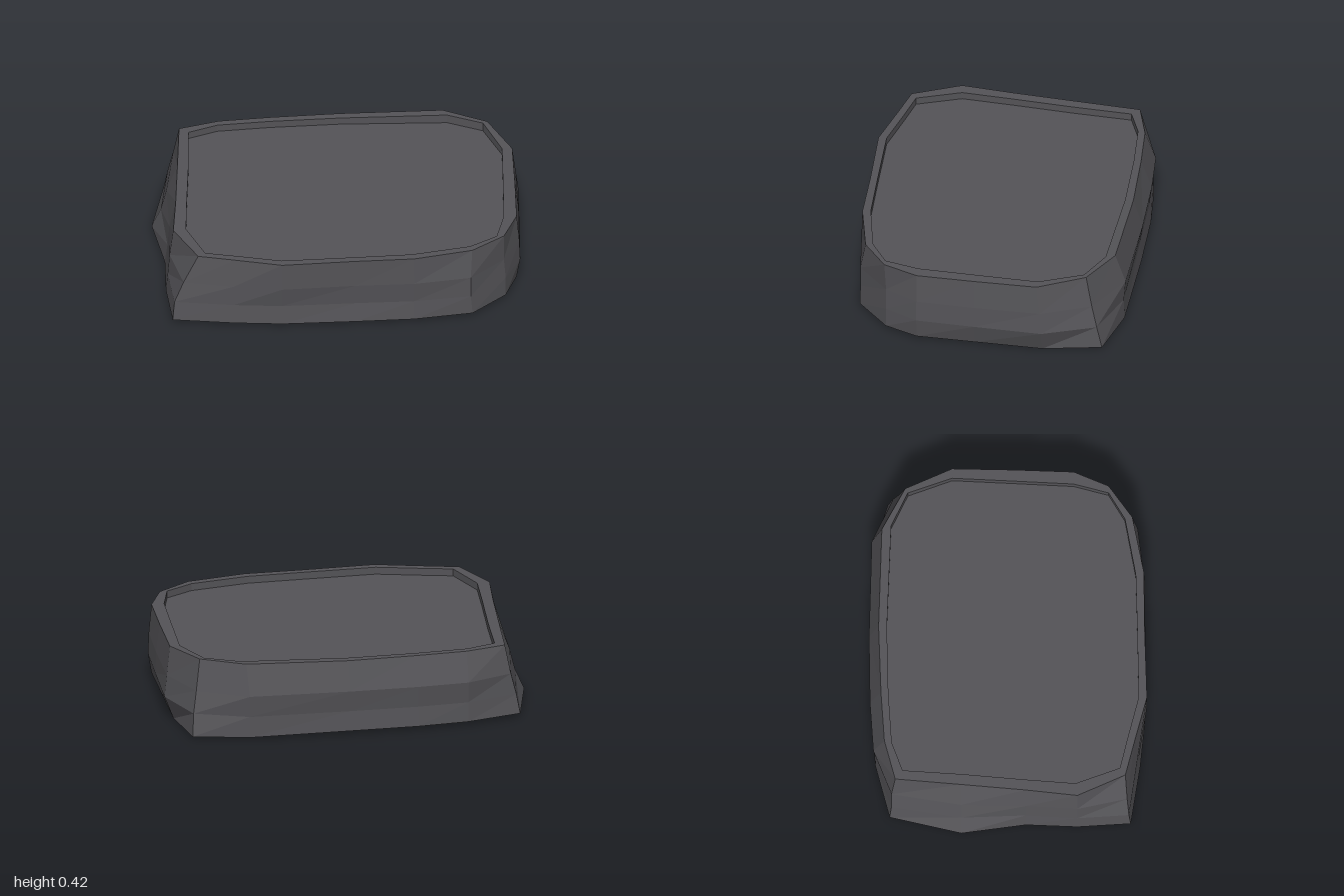
import * as THREE from 'three';

// Every ring has 19 [x, z] points, starting at the front right-hand corner of
// the slab (-x, +z) and running anticlockwise as seen from above.
const base = [
  [-0.94, 0.67], [-0.61, 0.72], [-0.35, 0.745], [0.05, 0.745], [0.37, 0.74], [0.69, 0.70],
  [0.88, 0.53], [0.95, 0.35], [0.95, 0.03], [0.95, -0.34], [0.9, -0.66], [0.6, -0.74],
  [0.05, -0.75], [-0.33, -0.745], [-0.61, -0.72], [-0.91, -0.64], [-1.0, -0.25], [-0.95, 0.1], [-0.96, 0.38],
];
const lower = [
  [-0.93, 0.66], [-0.61, 0.71], [-0.35, 0.735], [0.05, 0.73], [0.37, 0.73], [0.68, 0.70],
  [0.88, 0.53], [0.97, 0.35], [0.985, 0.03], [1.0, -0.34], [0.89, -0.63], [0.6, -0.735],
  [0.05, -0.74], [-0.33, -0.735], [-0.61, -0.715], [-0.89, -0.63], [-0.95, -0.25], [-0.935, 0.1], [-0.95, 0.38],
];
const upper = [
  [-0.88, 0.65], [-0.61, 0.71], [-0.35, 0.755], [0.05, 0.74], [0.37, 0.74], [0.68, 0.70],
  [0.87, 0.53], [0.965, 0.35], [0.98, 0.03], [0.985, -0.33], [0.87, -0.6], [0.6, -0.745],
  [0.05, -0.757], [-0.33, -0.75], [-0.61, -0.73], [-0.86, -0.63], [-0.92, -0.25], [-0.925, 0.1], [-0.94, 0.38],
];
const rimOuter = [
  [-0.8, 0.64], [-0.6, 0.69], [-0.35, 0.755], [0.05, 0.74], [0.37, 0.735], [0.69, 0.67],
  [0.87, 0.54], [0.95, 0.35], [0.96, 0.03], [0.965, -0.31], [0.845, -0.565], [0.61, -0.69],
  [0.05, -0.705], [-0.33, -0.69], [-0.61, -0.67], [-0.83, -0.61], [-0.86, -0.25], [-0.89, 0.1], [-0.92, 0.38],
];
const rimInner = [
  [-0.76, 0.61], [-0.59, 0.65], [-0.35, 0.71], [0.05, 0.70], [0.36, 0.69], [0.68, 0.63],
  [0.83, 0.54], [0.88, 0.35], [0.895, 0.03], [0.91, -0.31], [0.82, -0.55], [0.63, -0.64],
  [0.05, -0.66], [-0.33, -0.65], [-0.62, -0.63], [-0.78, -0.57], [-0.8, -0.25], [-0.83, 0.1], [-0.85, 0.37],
];

// Slightly uneven heights of the underside and the rim
const baseY = (x, z) => 0.02 - 0.02 * Math.max(0, x) * Math.max(0, 1 - Math.abs(z + 0.35));
const rimY = (x, z) => 0.41 + (x > 0.4 && z < -0.4 ? 0.01 : 0);

const ring = (points, height) => points.map(([x, z]) =>
  new THREE.Vector3(x, typeof height === 'number' ? height : height(x, z), z));

// Joins successive rings; the caps are fans around a centre point
function surface(rings, cap) {
  const pos = [];
  const tri = (...pts) => pts.forEach((p) => pos.push(p.x, p.y, p.z));
  for (let k = 0; k < rings.length - 1; k++) {
    const a = rings[k], b = rings[k + 1];
    a.forEach((p, i) => {
      const j = (i + 1) % a.length;
      tri(p, a[j], b[j]);
      tri(p, b[j], b[i]);
    });
  }
  if (cap) {
    const edge = rings[rings.length - 1];
    const centre = new THREE.Vector3();
    edge.forEach((p) => centre.addScaledVector(p, 1 / edge.length));
    edge.forEach((p, i) => {
      const q = edge[(i + 1) % edge.length];
      if (cap === 'up') tri(p, q, centre);
      else tri(q, p, centre);
    });
  }
  const geometry = new THREE.BufferGeometry();
  geometry.setAttribute('position', new THREE.Float32BufferAttribute(pos, 3));
  geometry.computeVertexNormals();
  return geometry;
}

export function createModel() {
  const group = new THREE.Group();
  group.name = 'stoneSlab';
  const stone = new THREE.MeshStandardMaterial({ color: 0x545357, flatShading: true });
  stone.name = 'dark stone';

  const bottom = ring(base, baseY);
  const outer = ring(rimOuter, rimY);
  const inner = ring(rimInner, rimY);
  const floor = ring(rimInner, 0.37);

  const add = (name, rings, cap) => {
    const mesh = new THREE.Mesh(surface(rings, cap), stone);
    mesh.name = name;
    group.add(mesh);
  };
  add('roughSides', [bottom, ring(lower, 0.13), ring(upper, 0.25), outer]);
  add('underside', [bottom], 'down');
  add('rim', [outer, inner, floor]);
  add('recessedTop', [floor], 'up');
  return group;
}
